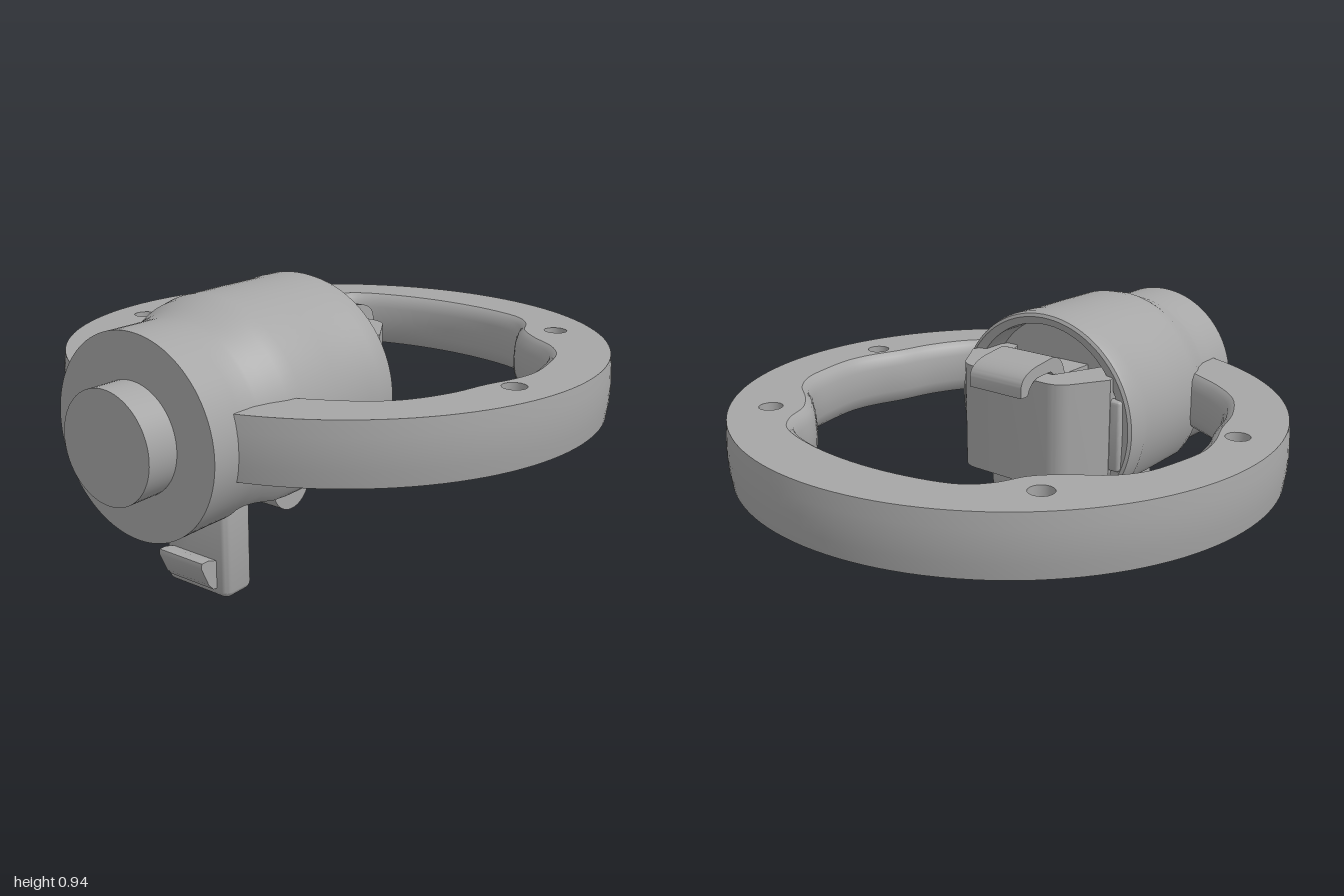
import * as THREE from 'three';
import { toCreasedNormals } from 'three/addons/utils/BufferGeometryUtils.js';
import { RoundedBoxGeometry } from 'three/addons/geometries/RoundedBoxGeometry.js';

const V2 = (x, y) => new THREE.Vector2(x, y);

export function createModel() {
  const group = new THREE.Group();
  const grey = new THREE.MeshStandardMaterial({ color: 0xa6a6a6, side: THREE.DoubleSide });
  grey.name = 'matte grey';

  function add(name, geo, x = 0, y = 0, z = 0, crease = 0.6) {
    const mesh = new THREE.Mesh(toCreasedNormals(geo, crease), grey);
    mesh.name = name;
    mesh.position.set(x, y, z);
    group.add(mesh);
    return mesh;
  }

  // Surface through rows of equally many points
  function loft(rows) {
    const n = rows[0].length, idx = [];
    for (let r = 0; r < rows.length - 1; r++)
      for (let i = 0; i < n - 1; i++) {
        const a = r * n + i, b = a + n;
        idx.push(a, b, a + 1, a + 1, b, b + 1);
      }
    const geo = new THREE.BufferGeometry().setFromPoints(rows.flat());
    geo.setIndex(idx);
    return geo;
  }

  // Profile drawn in (z, y), extruded across x and centred
  function sideProfile(shape, width) {
    const geo = new THREE.ExtrudeGeometry(shape, { depth: width, bevelEnabled: false, curveSegments: 16 });
    return geo.rotateY(-Math.PI / 2).translate(width / 2, 0, 0);
  }

  // ---- Ring: outer ellipse and wavy inner outline, open where the body sits
  const bottom = 0.48, top = 0.68, cz = -0.07;
  const half = [[0.26, 0.58], [0.36, 0.53], [0.46, 0.475], [0.56, 0.39], [0.635, 0.25], [0.67, 0.12], [0.71, 0.01],
    [0.725, -0.08], [0.71, -0.2], [0.68, -0.31], [0.62, -0.39], [0.52, -0.46], [0.45, -0.53],
    [0.41, -0.62], [0.35, -0.685], [0.2, -0.735]];
  const path = [...half, [0, -0.755], ...half.map(([x, z]) => [-x, z]).reverse()];
  const inner = new THREE.CatmullRomCurve3(path.map(([x, z]) => new THREE.Vector3(x, 0, z))).getPoints(160);
  const innerRow = (y, off) => inner.map(p => {
    const d = Math.hypot(p.x, p.z - cz), k = 1 + off / d;
    return new THREE.Vector3(p.x * k, y, cz + (p.z - cz) * k);
  });
  const outerRow = (y, off) => Array.from({ length: 121 }, (_, i) => {
    const a = 0.3 + (i / 120) * (2 * Math.PI - 0.6);
    return new THREE.Vector3(Math.sin(a) * (0.938 - off), y, cz + Math.cos(a) * (0.922 - off));
  });
  add('ringInnerWall', loft([[bottom, 0.03], [0.495, 0.014], [0.53, 0.003], [0.58, 0], [0.63, 0.003],
    [0.665, 0.014], [top, 0.035]].map(([y, o]) => innerRow(y, o))), 0, 0, 0, 0.9);
  add('ringOuterWall', loft([[top, 0.008], [0.63, 0.002], [0.58, 0], [0.53, 0.002], [bottom, 0.008]]
    .map(([y, o]) => outerRow(y, o))));

  const holes = [[0.565, -0.615], [-0.565, -0.615], [0.78, 0.092], [-0.78, 0.092]];
  const polygon = (x, z, r, n) => Array.from({ length: n }, (_, i) =>
    V2(x + r * Math.cos(i / n * 2 * Math.PI), -z + r * Math.sin(i / n * 2 * Math.PI)));
  function ringFace(name, y, off, r, n) {
    const flat = p => V2(p.x, -p.z);
    const shape = new THREE.Shape([...outerRow(y, 0.008).map(flat), ...innerRow(y, off).map(flat).reverse()]);
    for (const [x, z] of holes) shape.holes.push(new THREE.Path(polygon(x, z, r, n)));
    const geo = new THREE.ShapeGeometry(shape).rotateX(-Math.PI / 2);
    if (y === bottom) {
      const ix = geo.index.array;
      for (let i = 0; i < ix.length; i += 3) [ix[i], ix[i + 1]] = [ix[i + 1], ix[i]];
    }
    add(name, geo, 0, y, 0);
  }
  ringFace('ringTop', top, 0.035, 0.04, 16);
  ringFace('ringUnderside', bottom, 0.03, 0.055, 6);

  // Bolt holes with hexagonal pockets below
  for (const [x, z] of holes) {
    const walls = (r, n, y0, y1) => loft([y0, y1].map(y => {
      const pts = polygon(0, 0, r, n);
      return [...pts, pts[0]].map(p => new THREE.Vector3(p.x, y, -p.y));
    }));
    add('boltHole', walls(0.04, 16, 0.57, top), x, 0, z);
    add('nutPocket', walls(0.055, 6, bottom, 0.57), x, 0, z);
    const seat = new THREE.Shape(polygon(0, 0, 0.055, 6));
    seat.holes.push(new THREE.Path(polygon(0, 0, 0.04, 16)));
    add('nutSeat', new THREE.ShapeGeometry(seat).rotateX(Math.PI / 2), x, 0.57, z);
  }

  // ---- Body: turned housing along z, flattened underneath behind the flange
  const axis = 0.573;
  const profile = [[0, 0.24], [0.325, 0.24], [0.325, 0.13], [0.35, 0.122], [0.361, 0.128], [0.366, 0.145], [0.366, 0.2],
    [0.364, 0.24], [0.364, 0.4], [0.362, 0.56], [0.352, 0.61], [0.33, 0.66], [0.32, 0.7], [0.316, 0.712],
    [0.315, 0.78], [0.315, 0.895], [0, 0.895]];
  const bodyGeo = new THREE.LatheGeometry(profile.map(p => V2(...p)), 96).rotateX(Math.PI / 2);
  const pos = bodyGeo.attributes.position;
  for (let i = 0; i < pos.count; i++) {
    const z = pos.getZ(i), r = Math.hypot(pos.getX(i), pos.getY(i));
    if (z < 0.705) pos.setY(i, Math.max(pos.getY(i), (z < 0.241 && r < 0.33 ? 0.385 : 0.36) - axis));
    if (z < 0.22 && r > 0.34) pos.setX(i, pos.getX(i) * 1.03);
  }
  add('body', bodyGeo, 0, axis, 0);
  add('frontBoss', new THREE.CylinderGeometry(0.173, 0.173, 0.12, 64).rotateX(Math.PI / 2), 0, axis, 0.94);

  // ---- Rear housing: wrap-around wall with slanted sides
  const wall = new THREE.Shape();
  wall.moveTo(0.34, -0.25);
  wall.lineTo(0.3, -0.1);
  wall.lineTo(0.225, 0.025);
  wall.quadraticCurveTo(0.2, 0.062, 0.15, 0.062);
  wall.lineTo(-0.15, 0.062);
  wall.quadraticCurveTo(-0.2, 0.062, -0.225, 0.025);
  wall.lineTo(-0.3, -0.1);
  wall.lineTo(-0.34, -0.25);
  wall.lineTo(-0.21, -0.25);
  wall.lineTo(-0.115, -0.03);
  wall.lineTo(0.115, -0.03);
  wall.lineTo(0.21, -0.25);
  // Trim the hidden rear of the wall to stay inside the housing
  const wallGeo = new THREE.ExtrudeGeometry(wall, { depth: 0.375, bevelEnabled: false }).rotateX(-Math.PI / 2);
  const wp = wallGeo.attributes.position;
  for (let i = 0; i < wp.count; i++)
    if (wp.getZ(i) > 0.2) wp.setX(i, THREE.MathUtils.clamp(wp.getX(i), -0.25, 0.25));
  add('rearHousing', wallGeo, 0, 0.39, 0);
  for (const s of [-1, 1])
    add('sideTab', new RoundedBoxGeometry(0.06, 0.25, 0.04, 2, 0.01), s * 0.305, 0.565, 0.125);

  // Bent latch over the rear housing
  const latch = new THREE.Shape();
  latch.moveTo(0.1, 0.7);
  latch.lineTo(0.1, 0.76);
  latch.quadraticCurveTo(0.085, 0.822, 0.03, 0.822);
  latch.lineTo(-0.05, 0.812);
  latch.quadraticCurveTo(-0.13, 0.8, -0.135, 0.755);
  latch.lineTo(-0.135, 0.72);
  latch.lineTo(-0.1, 0.72);
  latch.quadraticCurveTo(-0.085, 0.765, -0.045, 0.772);
  latch.lineTo(0.02, 0.775);
  latch.quadraticCurveTo(0.05, 0.77, 0.05, 0.7);
  add('latch', sideProfile(latch, 0.22));
  add('latchBase', new THREE.BoxGeometry(0.22, 0.3, 0.2), 0, 0.6, 0.19);

  // ---- U-shaped loops below the body
  for (const z of [0.135, 0.385]) {
    const u = new THREE.Shape();
    u.moveTo(-0.09, 0.42);
    u.lineTo(-0.09, 0.32);
    u.absarc(0, 0.32, 0.09, Math.PI, 2 * Math.PI, false);
    u.lineTo(0.09, 0.42);
    u.lineTo(0.038, 0.42);
    u.lineTo(0.038, 0.32);
    u.absarc(0, 0.32, 0.038, 2 * Math.PI, Math.PI, true);
    u.lineTo(-0.038, 0.42);
    add('lowerLoop', sideProfile(u, 0.33), 0, 0, z);
  }

  // ---- Lower leg with thumb catch
  add('leg', new RoundedBoxGeometry(0.265, 0.42, 0.125, 4, 0.03), 0, 0.212, 0.602);
  const thumb = new THREE.Shape([V2(0.65, 0.035), V2(0.68, 0.038), V2(0.7, 0.06), V2(0.73, 0.125),
    V2(0.728, 0.142), V2(0.7, 0.142), V2(0.65, 0.125)]);
  add('thumbCatch', sideProfile(thumb, 0.18));

  return group;
}
